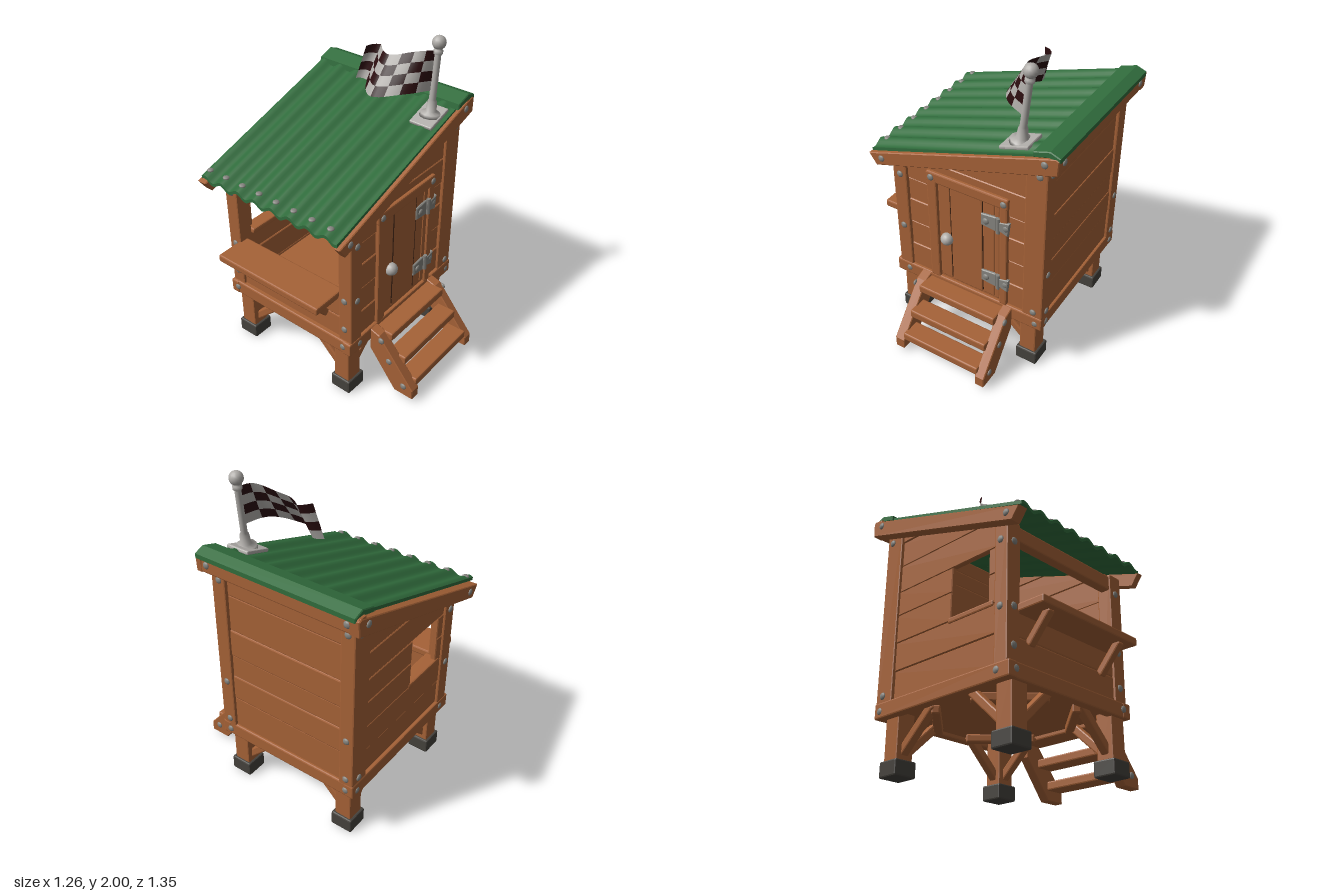
import * as THREE from 'three';
import { RoundedBoxGeometry } from 'three/addons/geometries/RoundedBoxGeometry.js';

const paint = (name, color, side = THREE.FrontSide) => {
  const m = new THREE.MeshStandardMaterial({ color, side });
  m.name = name;
  return m;
};

export function createModel() {
  const model = new THREE.Group();
  model.name = 'playhouse';
  const wood = paint('wood', 0xa66237);
  const darkWood = paint('dark seam', 0x3a2011);
  const green = paint('roof green', 0x316d3d);
  const metal = paint('iron', 0x85847f);
  const pale = paint('pale grey', 0xb0ada9, THREE.DoubleSide);
  const maroon = paint('dark maroon', 0x2b0d0f, THREE.DoubleSide);
  const rubber = paint('foot black', 0x45423d);

  let seed = 7;
  const rand = () => ((seed = (seed * 16807) % 2147483647) / 2147483647) * 2 - 1;

  const add = (name, geo, mat, pos = [0, 0, 0]) => {
    const mesh = new THREE.Mesh(geo, mat);
    mesh.name = name;
    mesh.position.set(...pos);
    model.add(mesh);
    return mesh;
  };

  // Chamfered timber, slightly tapered along its longest side
  const timber = (size, wobble = 0.04) => {
    const geo = new RoundedBoxGeometry(...size, 1, Math.min(0.009, Math.min(...size) * 0.3));
    const long = size.indexOf(Math.max(...size));
    const k = rand() * wobble, p = geo.attributes.position;
    for (let i = 0; i < p.count; i++) {
      const s = 1 + (k * p.getComponent(i, long)) / size[long];
      for (let a = 0; a < 3; a++) if (a !== long) p.setComponent(i, a, p.getComponent(i, a) * s);
    }
    geo.computeVertexNormals();
    return geo;
  };
  // Timber given by its lower and upper limits
  const beam = (name, x0, x1, y0, y1, z0, z1, mat = wood) =>
    add(name, timber([x1 - x0, y1 - y0, z1 - z0]), mat, [(x0 + x1) / 2, (y0 + y1) / 2, (z0 + z1) / 2]);
  // Timber running between two points
  const strut = (name, a, b, w = 0.05) => {
    const A = new THREE.Vector3(...a), B = new THREE.Vector3(...b);
    const m = add(name, timber([w, w, A.distanceTo(B)]), wood);
    m.position.copy(A).lerp(B, 0.5);
    m.lookAt(B);
  };
  // Outline in x and y, extruded from z0 to z1 with a small bevel
  const slab = (name, pts, z0, z1, mat = wood) => {
    const b = 0.005;
    const geo = new THREE.ExtrudeGeometry(new THREE.Shape(pts.map(p => new THREE.Vector2(...p))), {
      depth: z1 - z0 - 2 * b, bevelThickness: b, bevelSize: b, bevelOffset: -b, bevelSegments: 1,
    });
    return add(name, geo, mat, [0, 0, z0 + b]);
  };
  const boltGeo = new THREE.SphereGeometry(0.021, 8, 6);
  const bolt = (x, y, z, axis) => {
    const m = add('bolt', boltGeo, metal, [x, y, z]);
    m.scale[axis] = 0.5;
  };

  const slope = 0.32;
  const roofY = x => 1.215 + slope * (x + 0.59);

  // Legs, feet, diagonal braces and corner ties under the floor
  for (const [x, sx] of [[-0.4, 1], [0.445, -1]])
    for (const [z, sz] of [[0.275, -1], [-0.5, 1]]) {
      beam('leg', x - 0.055, x + 0.055, 0.05, 0.37, z - 0.055, z + 0.055);
      beam('foot', x - 0.07, x + 0.07, 0, 0.092, z - 0.07, z + 0.07, rubber);
      strut('brace', [x + sx * 0.03, 0.13, z], [x + sx * 0.27, 0.35, z], 0.05);
      strut('brace', [x, 0.13, z + sz * 0.03], [x, 0.35, z + sz * 0.26], 0.05);
      strut('cornerTie', [x + sx * 0.29, 0.325, z], [x, 0.325, z + sz * 0.28], 0.05);
    }

  // Floor and base rails
  add('floor', new THREE.BoxGeometry(0.96, 0.05, 0.9), wood, [0.04, 0.375, -0.12]);
  beam('frontRail', -0.48, 0.55, 0.325, 0.415, 0.3, 0.362);
  beam('backRail', -0.48, 0.55, 0.325, 0.415, -0.602, -0.54);
  beam('sideRail', 0.49, 0.548, 0.325, 0.415, -0.59, 0.35);
  beam('sideRail', -0.475, -0.415, 0.325, 0.415, -0.59, 0.35);

  // Corner posts
  for (const [z0, z1] of [[0.262, 0.357], [-0.598, -0.503]]) {
    beam('lowPost', -0.46, -0.365, 0.39, 1.2, z0, z1);
    beam('highPost', 0.415, 0.548, 0.39, 1.51, z0, z1);
  }

  // Front and back plank walls, cut along the roof slope
  const rows = [0.4, 0.58, 0.75, 0.92, 1.07, 1.24, 1.4, 1.53];
  const plank = (xl, xr, yb, yt, z) => {
    const top = x => roofY(x) - 0.035, at = y => (y + 0.035 - 1.215) / slope - 0.59;
    const l = Math.max(xl, at(yb));
    if (l >= xr - 0.02) return;
    const pts = [[l, yb], [xr, yb], [xr, Math.min(yt, top(xr))]];
    if (at(yt) > l && at(yt) < xr) pts.push([at(yt), yt]);
    if (top(xl) > yb) pts.push([xl, Math.min(yt, top(xl))]);
    const o = rand() * 0.004;
    slab('wallPlank', pts, z - 0.017 + o, z + 0.017 + o);
  };
  for (let i = 0; i < rows.length - 1; i++) {
    const [a, b] = [rows[i], rows[i + 1]];
    plank(-0.39, 0.44, a, b, 0.32);
    if (a >= 0.75 && b <= 1.07) {
      plank(-0.39, -0.31, a, b, -0.565);
      plank(-0.03, 0.44, a, b, -0.565);
    } else plank(-0.39, 0.44, a, b, -0.565);
  }
  beam('windowSill', -0.35, -0.01, 0.735, 0.77, -0.59, -0.5);

  // Tall side wall and low counter wall
  const sideRows = [0.4, 0.62, 0.78, 0.93, 1.1, 1.33, 1.43, 1.53];
  for (let i = 0; i < 7; i++) {
    const o = rand() * 0.004;
    beam('sidePlank', 0.49 + o, 0.53 + o, sideRows[i] - 0.003, sideRows[i + 1] + 0.003, -0.52, 0.28);
    if (i < 2) {
      const [a, b] = i ? [0.56, 0.71] : [0.4, 0.563];
      beam('counterPlank', -0.445, -0.41, a, b, -0.52, 0.28);
    }
  }
  beam('counterHeader', -0.45, -0.39, 1.1, 1.19, -0.52, 0.28);

  // Counter shelf with brackets
  beam('counterShelf', -0.63, -0.4, 0.69, 0.737, -0.52, 0.25);
  for (const z of [-0.42, 0.15]) strut('shelfBracket', [-0.445, 0.54, z], [-0.585, 0.7, z], 0.045);

  // Door and its frame
  const seams = [-0.155, -0.07, 0.145, 0.225, 0.262];
  for (let i = 0; i < 4; i++) beam('doorBoard', seams[i], seams[i + 1], 0.43, 1.125, 0.32, 0.347 + (i % 2) * 0.004);
  for (const x of seams.slice(1, 3)) add('doorSeam', new THREE.BoxGeometry(0.005, 0.66, 0.006), darkWood, [x, 0.78, 0.346]);
  beam('doorFrame', -0.222, -0.155, 0.41, 1.16, 0.31, 0.362);
  beam('doorFrame', 0.262, 0.312, 0.41, 1.16, 0.31, 0.362);
  beam('doorHeader', -0.225, 0.315, 1.12, 1.19, 0.31, 0.362);
  add('doorKnob', new THREE.SphereGeometry(0.04, 14, 10), pale, [-0.095, 0.74, 0.357]);
  for (const y of [0.995, 0.575]) {
    slab('hingeStrap', [[0.14, y - 0.04], [0.24, y - 0.05], [0.24, y + 0.05], [0.14, y + 0.04]], 0.34, 0.36, metal);
    slab('hingePlate', [[0.24, y - 0.025], [0.32, y - 0.05], [0.33, y + 0.045], [0.24, y + 0.025]], 0.345, 0.367, metal);
    add('hingePin', new THREE.CylinderGeometry(0.015, 0.015, 0.105, 8), metal, [0.255, y, 0.358]);
    for (const x of [0.175, 0.305]) bolt(x, y, 0.362, 'z');
  }

  // Steps
  for (const [x0, x1] of [[-0.288, -0.222], [0.29, 0.352]]) {
    const s = slab('stepStringer', [[-0.67, 0.025], [-0.54, 0.025], [-0.355, 0.26], [-0.355, 0.41],
      [-0.42, 0.39], [-0.67, 0.09]], 0, x1 - x0);
    s.rotation.y = Math.PI / 2;
    s.position.x = x0 + 0.005;
    for (const [y, z] of [[0.36, 0.44], [0.23, 0.5], [0.095, 0.61]]) bolt(x0 < 0 ? x0 : x1, y, z, 'x');
  }
  for (const [y, z] of [[0.365, 0.42], [0.237, 0.52], [0.115, 0.605]])
    beam('stepTread', -0.235, 0.3, y - 0.027, y + 0.027, z - 0.065, z + 0.06);

  // Roof boards along the edges
  const barge = [[-0.6, 1.19], [-0.55, 1.12], [0.615, 1.485], [0.62, 1.575], [0.6, 1.585]];
  slab('frontBargeBoard', barge, 0.35, 0.392);
  slab('backBargeBoard', barge, -0.664, -0.6);
  beam('highFascia', 0.55, 0.615, 1.485, 1.585, -0.66, 0.388);

  // Corrugated roof sheet
  const wave = z => 0.015 * Math.cos(((z - 0.03) / 0.128) * Math.PI * 2);
  const sheet = new THREE.BoxGeometry(1.13, 0.02, 1.0, 8, 1, 80);
  sheet.translate(-0.025, 0, -0.133);
  const sp = sheet.attributes.position;
  for (let i = 0; i < sp.count; i++) {
    const x = sp.getX(i), z = sp.getZ(i);
    sp.setY(i, sp.getY(i) + roofY(x) + wave(z));
  }
  sheet.computeVertexNormals();
  add('roofSheet', sheet, green);
  slab('ridgeCap', [[0.465, 1.55], [0.56, 1.575], [0.625, 1.565], [0.625, 1.592], [0.565, 1.615], [0.47, 1.585]], -0.645, 0.388, green);
  for (let k = -5; k <= 2; k++) bolt(-0.54, roofY(-0.54) + 0.021, 0.03 + k * 0.128, 'y');

  // Bolts on posts, rails and barge boards
  for (const [x, y] of [[-0.41, 1.09], [-0.41, 0.71], [-0.39, 0.375], [0.5, 1.42], [0.49, 0.45], [0.505, 0.365]]) {
    bolt(x, y, 0.359, 'z');
    bolt(x, y, -0.6, 'z');
  }
  for (const x of [-0.19, 0.288]) bolt(x, 1.155, 0.363, 'z');
  for (const [x, y] of [[-0.51, 1.18], [0.54, 1.53]]) for (const z of [0.392, -0.664]) bolt(x, y, z, 'z');
  for (const z of [0.305, -0.55]) {
    for (const y of [1.42, 0.73, 0.45, 0.367]) bolt(0.548, y, z, 'x');
    for (const y of [1.08, 0.71, 0.5, 0.375]) bolt(y < 0.4 ? -0.476 : -0.461, y, z, 'x');
  }
  for (const z of [0.32, -0.59]) bolt(0.615, 1.535, z, 'x');

  // Flagpole, leaning slightly
  const plate = add('poleBasePlate', timber([0.18, 0.022, 0.15]), pale, [0.335, 1.533, 0.275]);
  plate.rotation.z = Math.atan(slope);
  const poleProfile = [[0, 0], [0.065, 0], [0.06, 0.02], [0.032, 0.03], [0.026, 0.09], [0.02, 0.1], [0.019, 0.36],
    [0.027, 0.365], [0.027, 0.385], [0.016, 0.39], [0.016, 0.42]].map(p => new THREE.Vector2(...p));
  const pole = add('flagPole', new THREE.LatheGeometry(poleProfile, 12), pale, [0.342, 1.535, 0.28]);
  pole.rotation.z = -0.105;
  add('poleBall', new THREE.SphereGeometry(0.04, 14, 10), pale, [0.386, 1.96, 0.28]);

  // Waving chequered flag
  const path = new THREE.CatmullRomCurve3([[0.36, 0.27], [0.275, 0.225], [0.215, 0.13], [0.185, 0.03], [0.235, -0.045],
    [0.28, -0.08], [0.265, -0.115], [0.235, -0.135]].map(([x, z]) => new THREE.Vector3(x, 0, z)));
  const flag = new THREE.PlaneGeometry(1, 1, 21, 12);
  const fp = flag.attributes.position;
  for (let i = 0; i < fp.count; i++) {
    const u = fp.getX(i) + 0.5, v = fp.getY(i);
    const p = path.getPointAt(u);
    const sag = -0.035 * u + 0.014 * Math.sin(u * 8);
    fp.setXYZ(i, p.x + v * (0.03 + 0.1 * Math.sin(u * Math.PI)), 1.8 + sag + v * (0.23 - 0.03 * u), p.z + v * 0.05 * u);
  }
  const cells = [[], []], idx = flag.index.array;
  for (let r = 0; r < 12; r++)
    for (let c = 0; c < 21; c++) {
      const start = (r * 21 + c) * 6;
      cells[(Math.floor(r / 3) + Math.floor(c / 3)) % 2].push(...idx.slice(start, start + 6));
    }
  flag.setIndex([...cells[0], ...cells[1]]);
  flag.clearGroups();
  flag.addGroup(0, cells[0].length, 0);
  flag.addGroup(cells[0].length, cells[1].length, 1);
  flag.computeVertexNormals();
  add('flag', flag, [maroon, pale]);

  return model;
}
